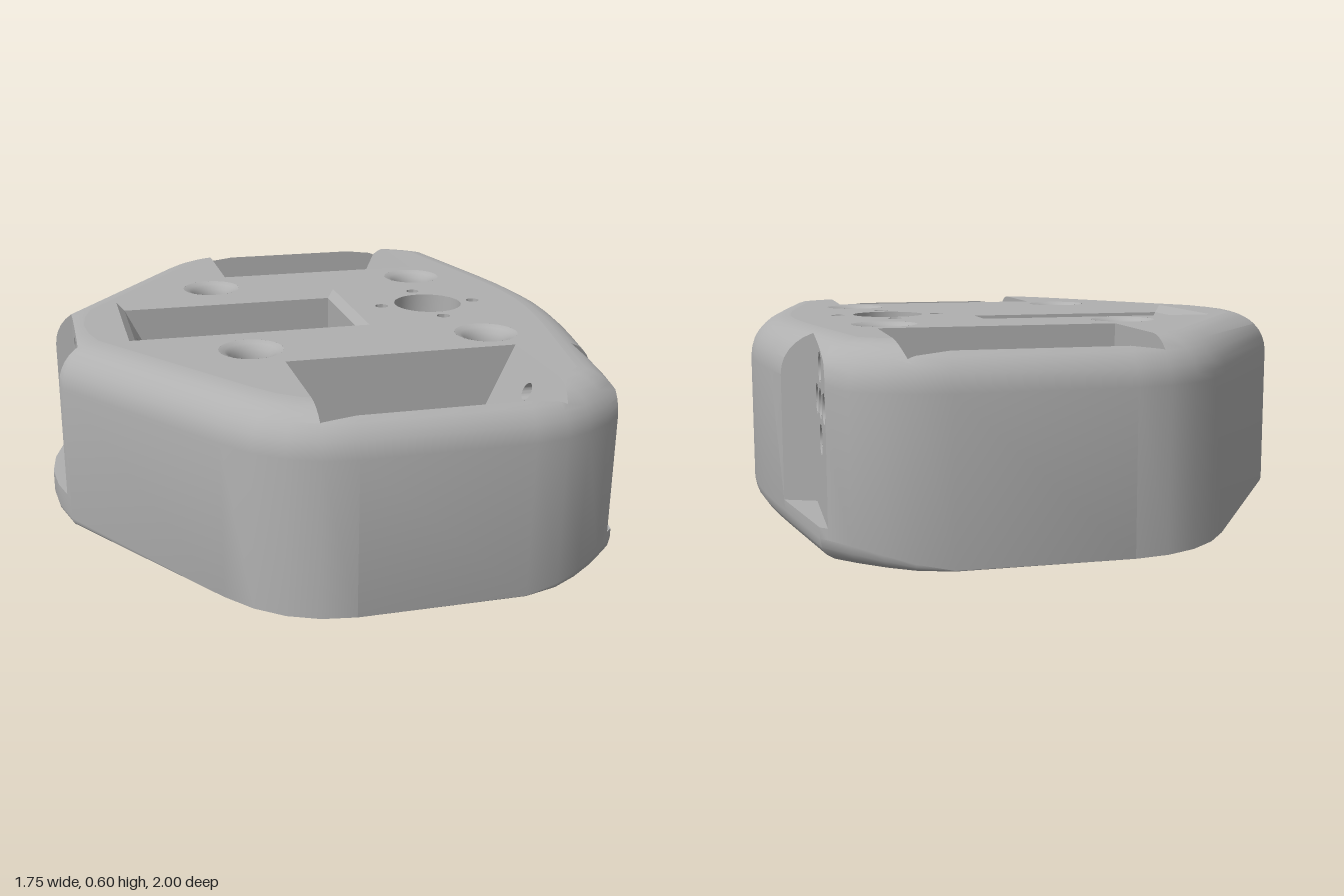
import * as THREE from 'three';
import { toCreasedNormals } from 'three/addons/utils/BufferGeometryUtils.js';

const V = (x, y, z) => new THREE.Vector3(x, y, z);
const H = 0.6, R = 0.13, BEVEL = 0.025;

// Half outline (x, z) from the wide end to the nose, mirrored to a closed convex loop
const half = [[0.875, 0], [0.869, 0.12], [0.853, 0.25], [0.832, 0.37], [0.806, 0.5], [0.735, 0.84],
  [0.66, 0.905], [0.58, 0.953], [0.5, 0.985], [0.4, 1], [-0.1, 1], [-0.2, 0.985], [-0.29, 0.947],
  [-0.37, 0.885], [-0.44, 0.8], [-0.835, 0.24], [-0.868, 0.12], [-0.88, 0]];
const outline = [...half, ...half.slice(1, -1).reverse().map(([x, z]) => [x, -z])]
  .map(([x, z]) => new THREE.Vector2(x, z));
const N = outline.length;
const edgeNormal = outline.map((p, i) => {
  const d = outline[(i + 1) % N].clone().sub(p).normalize();
  return new THREE.Vector2(d.y, -d.x);
});
const miter = edgeNormal.map((n, i) => {
  const m = edgeNormal[(i + N - 1) % N];
  return n.clone().add(m).divideScalar(1 + n.dot(m));
});
const inset = (i, d) => outline[i].clone().addScaledVector(miter[i], -d);

// Planes are [normal, distance]; inside means normal . p <= distance
const plane = (x, y, z, d) => [V(x, y, z), d];
function split(poly, [n, d]) {
  const inside = [], outside = [];
  poly.forEach((a, i) => {
    const b = poly[(i + 1) % poly.length];
    const da = n.dot(a) - d, db = n.dot(b) - d;
    if (da <= 1e-7) inside.push(a);
    if (da >= -1e-7) outside.push(a);
    if ((da > 1e-7 && db < -1e-7) || (da < -1e-7 && db > 1e-7)) {
      const c = a.clone().lerp(b, da / (da - db));
      inside.push(c); outside.push(c);
    }
  });
  return [inside, outside];
}
const intersect = (polys, planes) => polys.map(p =>
  planes.reduce((q, pl) => (q.length > 2 ? split(q, pl)[0] : []), p)).filter(p => p.length > 2);
function subtract(polys, planes) {
  const out = [];
  for (const p of polys) {
    let rest = p;
    const pieces = [];
    for (const pl of planes) {
      const [i, o] = split(rest, pl);
      if (o.length > 2) pieces.push(o);
      rest = i;
      if (rest.length < 3) break;
    }
    out.push(...(rest.length < 3 ? [p] : pieces));
  }
  return out;
}

// Planes of the filleted convex body, used to trim inner walls
const bodyPlanes = [plane(0, 1, 0, H), plane(0, -1, 0, 0)];
const STEPS = 8;
outline.forEach((p, i) => {
  const n = edgeNormal[i], add = (a, d, y) => {
    const q = p.clone().addScaledVector(n, -d), v = V(n.x * Math.cos(a), Math.sin(a), n.y * Math.cos(a));
    bodyPlanes.push([v, v.dot(V(q.x, y, q.y))]);
  };
  add(0, 0, 0);
  for (let k = 0; k < STEPS; k++) {
    const a = k / STEPS * Math.PI / 2, mid = (k + 0.5) / STEPS * Math.PI / 2;
    add(mid, R * (1 - Math.cos(a)), H - R + R * Math.sin(a));
  }
});

const circle = (x, y, r) => new THREE.Path().absarc(x, y, r, 0, Math.PI * 2, true);
function toPolys(geo, map) {
  const g = geo.index ? geo.toNonIndexed() : geo, p = g.attributes.position, out = [];
  for (let i = 0; i < p.count; i += 3) {
    out.push([0, 1, 2].map(k => map(p.getX(i + k), p.getY(i + k), p.getZ(i + k))));
  }
  return out;
}
// Flat sheet with round holes, placed in space by a mapping
function sheet(points, holes, map, flip) {
  const s = new THREE.Shape(points);
  s.holes = holes.map(h => circle(...h));
  const polys = toPolys(new THREE.ShapeGeometry(s, 20), map);
  if (flip) polys.forEach(p => p.reverse());
  return polys;
}
function toGeometry(polys) {
  const pos = [], e = V(), f = V();
  for (const p of polys) for (let i = 1; i < p.length - 1; i++) {
    if (e.subVectors(p[i], p[0]).cross(f.subVectors(p[i + 1], p[0])).length() < 1e-9) continue;
    for (const v of [p[0], p[i], p[i + 1]]) pos.push(v.x, v.y, v.z);
  }
  const g = new THREE.BufferGeometry();
  g.setAttribute('position', new THREE.Float32BufferAttribute(pos, 3));
  return toCreasedNormals(g, 0.6);
}
const rect = (a, b, c, d) => [[a, c], [b, c], [b, d], [a, d]].map(q => new THREE.Vector2(...q));

// Bays: pocket (straight wall x0, sloped wall xt at top to xb at bottom) and outer notch
const bays = [
  { name: 'frontBay', s: 1, x0: -0.195, xt: 0.53, xb: 0.25, z: [0.525, 0.945], px: 0.715, nz: [0.53, 0.95], flare: [0.42, 0], zc: 0.715 },
  { name: 'backBay', s: 1, x0: -0.195, xt: 0.53, xb: 0.25, z: [-0.945, -0.525], px: 0.715, nz: [-0.95, -0.53], flare: [0, 0.42], zc: -0.715 },
  { name: 'noseBay', s: -1, x0: 0.13, xt: -0.61, xb: -0.31, z: [-0.235, 0.185], px: -0.78, nz: [-0.215, 0.185], flare: [0.3, 0.3], zc: -0.02, bevel: true },
];
for (const b of bays) {
  const { s, x0, xt, xb, z, px, nz, flare } = b, k = (xt - xb) / H, y = H - BEVEL;
  b.slope = h => xb + k * h;
  b.pocket = [plane(s, -s * k, 0, s * xb), plane(-s, 0, 0, -s * x0), plane(0, 0, 1, z[1]), plane(0, 0, -1, -z[0])];
  b.notch = [plane(-s, 0, 0, -s * px), plane(0, -1, 0, -0.1),
    plane(-s * flare[1], 0, 1, nz[1] - flare[1] * s * px), plane(-s * flare[0], 0, -1, -nz[0] - flare[0] * s * px)];
  b.rim = [plane(0, -1, 0, -y), plane(s, -1, 0, s * b.slope(y) - y), plane(-s, -1, 0, -s * x0 - y),
    plane(0, -1, 1, z[1] - y), plane(0, -1, -1, -z[0] - y)];
}
const carve = polys => bays.reduce((p, b) => {
  p = subtract(subtract(p, b.pocket), b.notch);
  return b.bevel ? subtract(p, b.rim) : p;
}, polys);

export function createModel() {
  const model = new THREE.Group();
  const grey = new THREE.MeshStandardMaterial({ color: 0xb0b0b0, side: THREE.DoubleSide });
  const add = (name, geo, parent = model) => {
    const m = new THREE.Mesh(geo, grey);
    m.name = name;
    parent.add(m);
    return m;
  };
  const bore = [0.425, 0], screws = [-0.27, 0.49].flatMap(x => [-0.38, 0.38].map(z => [x, z]));
  const ringHoles = [[0.165, 0], [-0.165, 0], [0, 0.165], [0, -0.165]].map(([x, z]) => [bore[0] + x, z, 0.022]);

  // Outer shell: lower rounding that fades along the sides, wall, top fillet
  const lower = i => 0.07 * THREE.MathUtils.smoothstep(outline[i].x, 0.35, 0.75) + (outline[i].x < -0.82 ? 0.03 : 0);
  const rows = [];
  for (let k = 0; k <= 4; k++) {
    const a = k / 4 * Math.PI / 2;
    rows.push(i => [lower(i) * (1 - Math.sin(a)), lower(i) * (1 - Math.cos(a))]);
  }
  for (let k = 0; k <= STEPS; k++) {
    const a = k / STEPS * Math.PI / 2;
    rows.push(() => [R * (1 - Math.cos(a)), H - R + R * Math.sin(a)]);
  }
  const at = (r, i) => {
    const [d, y] = rows[r](i % N), q = inset(i % N, d);
    return V(q.x, y, q.y);
  };
  const shell = [];
  for (let r = 0; r < rows.length - 1; r++) for (let i = 0; i < N; i++) {
    const [a, b, c, d] = [at(r, i), at(r + 1, i), at(r + 1, i + 1), at(r, i + 1)];
    shell.push([a, b, c], [a, c, d]);
  }
  add('outerShell', toGeometry(carve(shell)));

  // Top and bottom faces
  const loop = f => outline.map((_, i) => inset(i, f(i)));
  add('topFace', toGeometry(carve(sheet(loop(() => R),
    [[...bore, 0.115], ...ringHoles, ...screws.map(p => [...p, 0.1])], (x, y) => V(x, H, y), true))));
  add('bottomFace', toGeometry(carve(sheet(loop(lower),
    [[...bore, 0.235], ...screws.map(p => [...p, 0.03])], (x, y) => V(x, 0, y)))));

  // Screw holes with softened counterbores
  const lathe = pts => toCreasedNormals(new THREE.LatheGeometry(pts.map(p => new THREE.Vector2(...p)), 32), 0.6);
  for (const [x, z] of screws) {
    add('screwHole', lathe([[0.03, 0], [0.03, 0.5], [0.06, 0.5], [0.06, 0.555], [0.067, 0.578], [0.081, 0.593], [0.1, 0.6]]))
      .position.set(x, 0, z);
  }

  // Round bore below a perforated roof
  const ROOF = 0.48;
  add('boreWall', lathe([[0.235, 0], [0.235, ROOF]])).position.x = bore[0];
  add('boreNeck', lathe([[0.115, ROOF], [0.115, H]])).position.x = bore[0];
  add('boreRoof', toGeometry(sheet(circle(...bore, 0.235).getPoints(32).slice(0, -1),
    [[...bore, 0.115], ...ringHoles], (x, y) => V(x, ROOF, y))));
  for (const [x, z, r] of ringHoles) add('ringHole', lathe([[r, ROOF], [r, H]])).position.set(x, 0, z);

  // Pockets, notches and the hole pattern joining them
  for (const b of bays) {
    const { s, x0, xt, xb, z, px, nz, flare, zc } = b;
    const group = new THREE.Group();
    group.name = b.name;
    model.add(group);
    const yc = 0.415, spots = [[0, 0], [0.1, 0], [-0.1, 0], [0, 0.1], [0, -0.1]].map(([u, v]) => [zc + u, yc + v]);
    const top = b.bevel ? H - BEVEL : H, trim = [...bodyPlanes, plane(0, 1, 0, top)];

    const walls = z.map(w => [V(x0, 0, w), V(xb, 0, w), V(xt, H, w), V(x0, H, w)]);
    walls.push([V(x0, 0, z[0]), V(x0, 0, z[1]), V(x0, H, z[1]), V(x0, H, z[0])]);
    add('pocketWalls', toGeometry(intersect(walls, trim)), group);
    add('slopedWall', toGeometry(intersect(sheet(rect(z[0], z[1], 0, H),
      spots.map(([u, v], i) => [u, v, i ? 0.025 : 0.043]), (u, v) => V(b.slope(v), v, u), s > 0), trim)), group);

    if (b.bevel) {
      const ring = (e, y) => [[x0 - s * e, z[0] - e], [x0 - s * e, z[1] + e],
        [b.slope(top) + s * e, z[1] + e], [b.slope(top) + s * e, z[0] - e]].map(([x, w]) => V(x, y, w));
      const lo = ring(0, top), hi = ring(BEVEL, H);
      add('pocketRim', toGeometry(lo.map((p, i) => [p, lo[(i + 1) % 4], hi[(i + 1) % 4], hi[i]])), group);
    }

    const far = px + s * 0.3, f0 = nz[0] - 0.3 * flare[0], f1 = nz[1] + 0.3 * flare[1];
    const sides = [[nz[0], f0], [nz[1], f1]].map(([a, c]) => [V(px, 0.1, a), V(far, 0.1, c), V(far, H, c), V(px, H, a)]);
    sides.push([V(px, 0.1, nz[0]), V(px, 0.1, nz[1]), V(far, 0.1, f1), V(far, 0.1, f0)]);
    add('notchWalls', toGeometry(intersect(sides, bodyPlanes)), group);
    add('mountingPanel', toGeometry(intersect(sheet(rect(nz[0], nz[1], 0.1, H),
      spots.map(p => [...p, 0.043]), (u, v) => V(px, v, u), s > 0), bodyPlanes)), group);

    spots.forEach(([u, v], i) => {
      const profile = i ? [[0.043, 0], [0.043, 0.06], [0.025, 0.06], [0.025, 0.5]] : [[0.043, 0], [0.043, 0.5]];
      const g = new THREE.LatheGeometry(profile.map(p => new THREE.Vector2(...p)), 24);
      const polys = toPolys(g, (x, y, w) => V(px - s * y, v + x, u + w));
      add('panelHole', toGeometry(intersect(subtract(polys, b.pocket),
        [...bodyPlanes, plane(-s, s * (xt - xb) / H, 0, -s * xb)])), group);
    });
  }
  return model;
}
